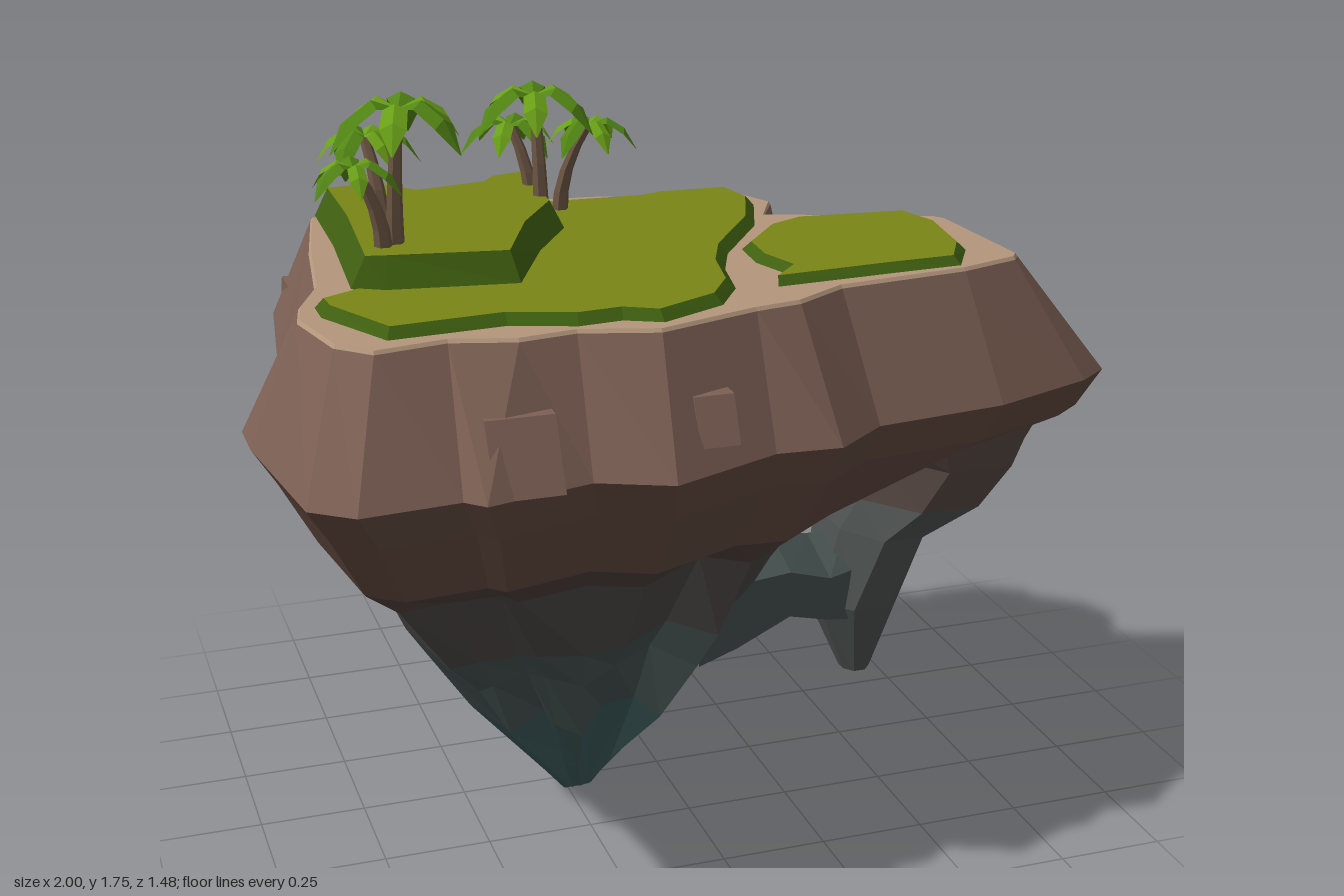
import * as THREE from 'three';

const mat = (color, side = THREE.FrontSide) =>
  new THREE.MeshStandardMaterial({ color, side, flatShading: true, roughness: 0.9 });

const GRASS = mat(0x7a8516), GRASS_SIDE = mat(0x3f5f10), SAND = mat(0xb3967c), ROCK = mat(0x7d6054);
const TRUNK = mat(0x6a5442), LEAVES = [mat(0x6aa018, THREE.DoubleSide), mat(0x528614, THREE.DoubleSide)];

function addMesh(parent, name, geometry, material) {
  const mesh = new THREE.Mesh(geometry, material);
  mesh.name = name;
  parent.add(mesh);
  return mesh;
}

// Skin a list of closed rings ([x, y, z] corners); optionally close both ends
function loft(rings, capped = false) {
  const n = rings[0].length, pos = rings.flat(2), idx = [];
  for (let r = 0; r < rings.length - 1; r++)
    for (let j = 0; j < n; j++) {
      const a = r * n + j, b = r * n + (j + 1) % n;
      idx.push(a, b, a + n, b, b + n, a + n);
    }
  if (capped) {
    [0, rings.length - 1].forEach((r, end) => {
      const c = [0, 1, 2].map(k => rings[r].reduce((s, p) => s + p[k], 0) / n);
      const ci = pos.length / 3;
      pos.push(...c);
      for (let j = 0; j < n; j++) {
        const a = r * n + j, b = r * n + (j + 1) % n;
        idx.push(...(end ? [ci, a, b] : [ci, b, a]));
      }
    });
  }
  const g = new THREE.BufferGeometry();
  g.setAttribute('position', new THREE.Float32BufferAttribute(pos, 3));
  g.setIndex(idx);
  const flat = g.toNonIndexed();
  flat.computeVertexNormals();
  return flat;
}

// Flat lid over an outline of [x, z] points
function lid(points, y) {
  const shape = new THREE.Shape(points.map(([x, z]) => new THREE.Vector2(x, -z)));
  return new THREE.ShapeGeometry(shape).rotateX(-Math.PI / 2).translate(0, y, 0);
}

const atHeight = (points, y) => points.map(([x, z]) => [x, y, z]);

function inset(points, d) {
  const n = points.length;
  return points.map(([x, z], i) => {
    const p = points[(i + n - 1) % n], q = points[(i + 1) % n];
    const tx = q[0] - p[0], tz = q[1] - p[1], l = Math.hypot(tx, tz) || 1;
    return [x - tz / l * d, z + tx / l * d];
  });
}

// Layer with a sloped side and flat top
function layer(parent, name, points, y0, y1, slope, top, side) {
  const upper = inset(points, slope);
  addMesh(parent, name + 'Side', loft([atHeight(upper, y1), atHeight(points, y0)]), side);
  addMesh(parent, name + 'Top', lid(upper, y1), top);
}

// Widest outline of the cliff, from back left clockwise as seen from above
const OUTER = [
  [-.79, -.73], [-.52, -.73], [-.44, -.66], [-.36, -.72], [-.14, -.70], [.06, -.70], [.19, -.60], [.22, -.66],
  [.37, -.66], [.44, -.50], [.49, -.35], [.44, -.26], [.90, -.13], [.94, -.05], [1, .34], [.92, .40],
  [.66, .50], [.34, .54], [.21, .64], [.06, .63], [-.20, .74], [-.36, .67], [-.60, .73], [-.64, .69],
  [-.86, .71], [-.95, .64], [-1, .25], [-1, .13], [-.90, -.04], [-.84, -.37]];
// Matching outline of the upper rim
const RIM = [
  [-.71, -.56], [-.50, -.57], [-.45, -.50], [-.32, -.57], [-.14, -.56], [.03, -.54], [.16, -.48], [.20, -.50],
  [.33, -.49], [.38, -.45], [.42, -.35], [.36, -.24], [.75, -.09], [.77, -.06], [.79, .28], [.77, .31],
  [.62, .36], [.30, .40], [.17, .48], [.06, .50], [-.18, .58], [-.35, .53], [-.48, .55], [-.62, .51],
  [-.78, .54], [-.85, .47], [-.89, .28], [-.87, .18], [-.81, .04], [-.77, -.25]];
const GRASS_MAIN = [
  [-.70, -.53], [-.55, -.56], [-.48, -.46], [-.32, -.50], [-.28, -.55], [-.15, -.53], [-.13, -.46], [.10, -.45],
  [.16, -.47], [.34, -.46], [.37, -.33], [.30, -.14], [.15, .08], [.10, .20], [.07, .35], [0, .46],
  [-.16, .54], [-.24, .50], [-.34, .51], [-.48, .46], [-.74, .48], [-.84, .28], [-.84, .20], [-.74, .15], [-.71, -.20]];
const GRASS_SMALL = [
  [.19, .05], [.30, -.09], [.40, -.14], [.52, -.13], [.68, -.11], [.72, .02], [.69, .22], [.62, .34],
  [.45, .35], [.16, .37], [.21, .27], [.18, .17]];
const PLATEAU = [
  [-.71, -.49], [-.55, -.52], [-.47, -.42], [-.32, -.45], [-.28, -.50], [-.16, -.50], [-.17, -.18], [-.28, 0],
  [-.39, .24], [-.68, .20], [-.75, .16], [-.72, -.20]];

// Lower rock: the outline shrunk towards the root, dropping the side shelf;
// bulge widens the back half
const AXIS = [-.22, .02];
function rootRing(y, s, rough, bulge) {
  return OUTER.map(([x, z], i) => {
    const k = s * (1 + rough * Math.sin(i * 2.4 + y * 5));
    const cx = Math.min(x, .47 - .3 * z * z);
    const kz = z < 0 ? k * bulge : k;
    return [AXIS[0] + (cx - AXIS[0]) * k, y + rough * .25 * Math.sin(i * 1.7), AXIS[1] + (z - AXIS[1]) * kz];
  });
}

function buildRock(parent) {
  const shrunk = (y, s) => OUTER.map(([x, z]) => [x * s, y, z * s]);
  const rings = [
    atHeight(RIM, 1.33), atHeight(OUTER, 1.05), shrunk(.96, .945),
    rootRing(.80, .82, 0, 1.02), rootRing(.73, .68, .05, 1.13), rootRing(.53, .53, .08, 1.12),
    rootRing(.44, .44, .12, 1.08), rootRing(.28, .32, .15, 1), rootRing(.11, .15, .1, 1), rootRing(0, .055, 0, 1)];
  const bands = [
    ['upperCliff', 0, 1, 0x7d6054], ['lowerCliff', 1, 3, 0x60483f], ['rockLedge', 3, 4, 0x4d403b],
    ['upperRoot', 4, 5, 0x4a4644], ['middleRoot', 5, 7, 0x43504e]];
  for (const [name, from, to, color] of bands)
    addMesh(parent, name, loft(rings.slice(from, to + 1)), mat(color));
  addMesh(parent, 'rootTip', loft(rings.slice(7), true), mat(0x3a5656));
}

// Horizontal eight-sided ring filling the given extents, its outer back corner cut off
function legRing([y, x0, x1, z0, z1]) {
  return Array.from({ length: 8 }, (_, i) => {
    const t = (i + .5) * Math.PI / 4;
    const cut = i > 5 ? .6 : 1;
    return [(x0 + x1) / 2 + (x1 - x0) * .54 * cut * Math.cos(t), y, (z0 + z1) / 2 + (z1 - z0) * .54 * Math.sin(t)];
  });
}

// Hanging leg under the side shelf, with a bridge to the root
function buildArch(parent) {
  const leg = [[.97, .40, .935, -.19, .41], [.84, .49, .88, -.18, .36], [.72, .46, .82, -.16, .30],
    [.64, .42, .66, -.12, .26], [.45, .37, .59, -.04, .22], [.25, .45, .52, .07, .15]].map(legRing);
  addMesh(parent, 'archLegTop', loft(leg.slice(0, 3)), mat(0x574843));
  addMesh(parent, 'archLeg', loft(leg.slice(2), true), mat(0x4b504e));
  // Stations: x, bottom, top, half depth
  const bridge = [[.02, .29, .66, .22], [.12, .33, .66, .21], [.26, .41, .64, .19], [.37, .38, .60, .17], [.47, .34, .62, .13]]
    .map(([x, y0, y1, w]) => Array.from({ length: 6 }, (_, i) => {
      const t = i * Math.PI / 3;
      return [x, (y0 + y1) / 2 + (y1 - y0) / 2 * Math.cos(t), .07 + w * Math.sin(t)];
    }));
  addMesh(parent, 'archBridge', loft(bridge), mat(0x434f4d));
}

// Blocks jutting from the cliff: x range, then [y, z back, z front] from top to bottom
function buildBlocks(parent) {
  const blocks = [
    [-.14, .05, [1.3, -.58, -.5], [1.2, -.67, -.5], [1.04, -.74, -.5]],
    [.21, .37, [1.2, -.59, -.42], [1.04, -.68, -.45]],
    [-.77, -.54, [1.16, -.68, -.55], [1.04, -.735, -.55]],
    [-.58, -.43, [1.2, .5, .64], [1.05, .5, .715]],
    [-.13, -.04, [1.2, .5, .635], [1.1, .5, .68]]];
  for (const [x0, x1, ...levels] of blocks) {
    const rings = levels.map(([y, z0, z1]) => [[x0, y, z0], [x1, y, z0], [x1, y, z1], [x0, y, z1]]);
    addMesh(parent, 'cliffBlock', loft(rings, true), ROCK);
  }
}

// Folded drooping frond pointing along +x
function frondGeometry() {
  const spine = [[0, 0, .006], [.06, .024, .030], [.115, -.01, .032], [.155, -.08, .002]];
  const pos = spine.flatMap(([x, y, w]) => [x, y - w * .5, -w, x, y, 0, x, y - w * .5, w]);
  const idx = [];
  for (let i = 0; i < 3; i++)
    for (let k = 0; k < 2; k++) {
      const a = i * 3 + k;
      idx.push(a, a + 1, a + 3, a + 1, a + 4, a + 3);
    }
  const g = new THREE.BufferGeometry();
  g.setAttribute('position', new THREE.Float32BufferAttribute(pos, 3));
  g.setIndex(idx);
  g.computeVertexNormals();
  return g;
}

function buildPalm(parent, base, crown, size, turn) {
  const palm = new THREE.Group();
  palm.name = 'palmTree';
  const rings = [];
  for (let i = 0; i <= 4; i++) {
    const t = 1 - i / 4, lean = t * t, r = .021 - .009 * t;
    const cx = base[0] + (crown[0] - base[0]) * lean, cz = base[2] + (crown[2] - base[2]) * lean;
    const y = base[1] + (crown[1] - base[1]) * t;
    rings.push(Array.from({ length: 6 }, (_, j) =>
      [cx + r * Math.cos(j * Math.PI / 3), y, cz + r * Math.sin(j * Math.PI / 3)]));
  }
  addMesh(palm, 'palmTrunk', loft(rings, true), TRUNK);
  const frond = frondGeometry();
  for (let i = 0; i < 6; i++) {
    const leaf = addMesh(palm, 'palmFrond', frond, LEAVES[i % 2]);
    leaf.position.set(...crown);
    leaf.scale.setScalar(size * (i % 2 ? 1 : .88));
    leaf.rotation.y = turn + i * Math.PI / 3;
  }
  parent.add(palm);
}

export function createModel() {
  const island = new THREE.Group();
  island.name = 'floatingIsland';
  buildRock(island);
  buildArch(island);
  buildBlocks(island);

  // Sand and grass layers
  layer(island, 'sand', RIM, 1.33, 1.338, .006, SAND, SAND);
  layer(island, 'mainGrass', GRASS_MAIN, 1.335, 1.362, .025, GRASS, GRASS_SIDE);
  layer(island, 'smallGrass', GRASS_SMALL, 1.335, 1.358, .025, GRASS, GRASS_SIDE);
  layer(island, 'plateau', PLATEAU, 1.36, 1.43, .035, GRASS, GRASS_SIDE);

  // Two clumps of palms
  buildPalm(island, [-.63, 1.42, .07], [-.61, 1.725, .06], 1.05, .2);
  buildPalm(island, [-.64, 1.42, -.01], [-.66, 1.64, -.08], .8, .9);
  buildPalm(island, [-.66, 1.42, .09], [-.72, 1.61, .09], .7, .5);
  buildPalm(island, [-.21, 1.35, -.24], [-.21, 1.66, -.29], 1, .3);
  buildPalm(island, [-.13, 1.35, -.36], [-.06, 1.57, -.34], .75, .7);
  buildPalm(island, [-.20, 1.35, -.35], [-.24, 1.57, -.40], .8, 0);
  return island;
}
